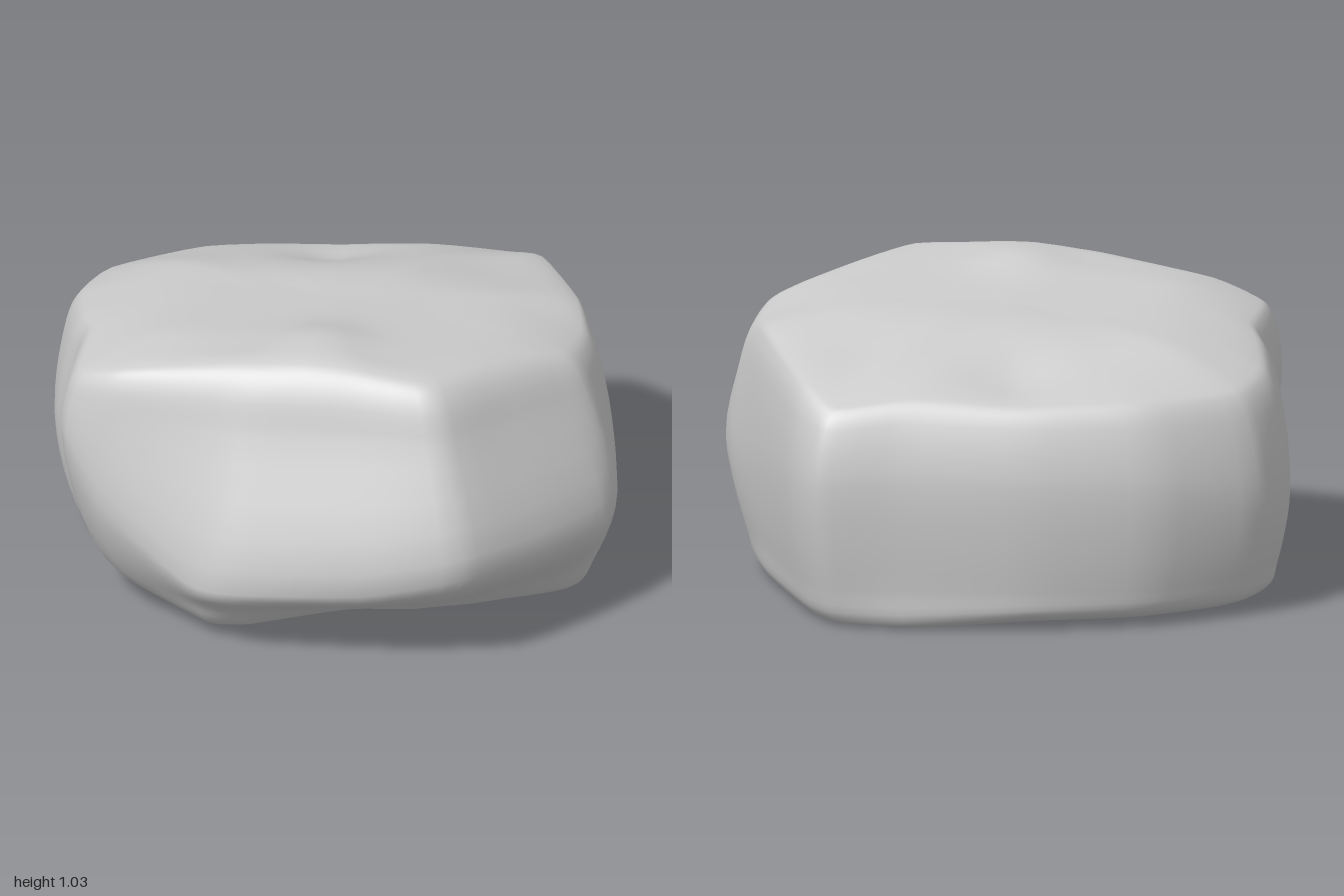
import * as THREE from 'three';
import { mergeVertices } from 'three/addons/utils/BufferGeometryUtils.js';

// Around the boulder from +x towards +z:
// widest x, widest z, bottom scale, widest height, top rim scale, top rim height
const COLUMNS = [
  [1.0, 0.17, 0.84, 0.4, 0.8, 0.91],
  [0.98, 0.31, 0.74, 0.35, 0.73, 0.94],
  [0.8, 0.58, 0.6, 0.35, 0.71, 0.97],
  [0.59, 0.82, 0.48, 0.36, 0.72, 0.985],
  [0.25, 0.87, 0.5, 0.29, 0.67, 1.0],
  [-0.2, 0.88, 0.76, 0.26, 0.66, 0.99],
  [-0.36, 0.82, 0.84, 0.26, 0.7, 0.98],
  [-0.7, 0.65, 0.76, 0.45, 0.86, 0.92],
  [-0.84, 0.53, 0.7, 0.62, 0.92, 0.87],
  [-0.88, 0.2, 0.82, 0.5, 0.9, 0.87],
  [-0.95, 0.06, 0.88, 0.42, 0.88, 0.85],
  [-1.0, -0.2, 0.92, 0.37, 0.89, 0.81],
  [-0.94, -0.45, 0.91, 0.42, 0.88, 0.79],
  [-0.64, -0.69, 0.91, 0.48, 0.86, 0.79],
  [-0.22, -0.81, 0.94, 0.5, 0.85, 0.79],
  [0.22, -0.86, 0.95, 0.51, 0.85, 0.8],
  [0.49, -0.89, 0.9, 0.5, 0.88, 0.77],
  [0.62, -0.74, 0.9, 0.48, 0.92, 0.82],
  [0.83, -0.3, 0.91, 0.44, 0.93, 0.89],
  [0.94, -0.08, 0.88, 0.42, 0.88, 0.88],
];
const ROWS = 50, AROUND = 80;

const bump = (x, z, cx, cz, r) => Math.exp(-((x - cx) ** 2 + (z - cz) ** 2) / (r * r));

// Upper surface: tilted crown that steps down to a shelf at the back
const crown = (x, z) => 0.955 + 0.08 * z + 0.03 * x - 0.06 * x * x
  - 0.05 * THREE.MathUtils.smoothstep(-z, 0.28, 0.5);

// Bottom-to-top profile of one column, from pole to pole
function profile([x, z, kBottom, yMid, kTop, yTop]) {
  const at = (k, y) => new THREE.Vector3(x * k, y, z * k);
  const onCrown = (k) => at(k, crown(x * k, z * k));
  const kHigh = 1 - (1 - kTop) ** 1.5;
  const wall = yTop - yMid;
  const yBottom = x < -0.1 ? 0.045 : 0.015;
  return new THREE.CatmullRomCurve3([
    at(0, 0.005),
    at(kBottom * 0.5, 0.01),
    at(kBottom, yBottom),
    at((1 + kBottom) / 2, 0.14),
    at(1, yMid),
    at(kHigh, yTop - 0.3 * wall),
    at((kTop + kHigh) / 2, yTop - 0.08 * wall),
    at(kTop, yTop),
    onCrown(kTop * 0.72),
    onCrown(kTop * 0.35),
    onCrown(0),
  ]);
}

function boulderGeometry() {
  const profiles = COLUMNS.map(profile);
  const positions = [], index = [];
  for (let i = 0; i <= ROWS; i++) {
    const section = profiles.map((c) => c.getPoint(i / ROWS));
    const ring = new THREE.CatmullRomCurve3(section, true, 'catmullrom', 0.28);
    for (let j = 0; j < AROUND; j++) {
      const p = ring.getPoint(j / AROUND);
      // peak near the front and a notch in the back rim
      const upper = THREE.MathUtils.smoothstep(p.y, 0.7, 0.8);
      p.y += upper * (0.04 * bump(p.x, p.z, 0.02, 0.4, 0.16) - 0.04 * bump(p.x, p.z, -0.12, -0.55, 0.14));
      positions.push(p.x, Math.max(0, p.y), p.z);
      if (i === ROWS) continue;
      const a = i * AROUND + j, b = i * AROUND + (j + 1) % AROUND;
      index.push(a, a + AROUND, b, b, a + AROUND, b + AROUND);
    }
  }
  const geometry = new THREE.BufferGeometry();
  geometry.setAttribute('position', new THREE.Float32BufferAttribute(positions, 3));
  geometry.setIndex(index);
  const merged = mergeVertices(geometry, 1e-4);
  merged.computeVertexNormals();
  return merged;
}

export function createModel() {
  const group = new THREE.Group();
  group.name = 'rock';
  const boulder = new THREE.Mesh(boulderGeometry(), new THREE.MeshStandardMaterial({ color: 0xcccccc }));
  boulder.name = 'boulder';
  group.add(boulder);
  return group;
}
